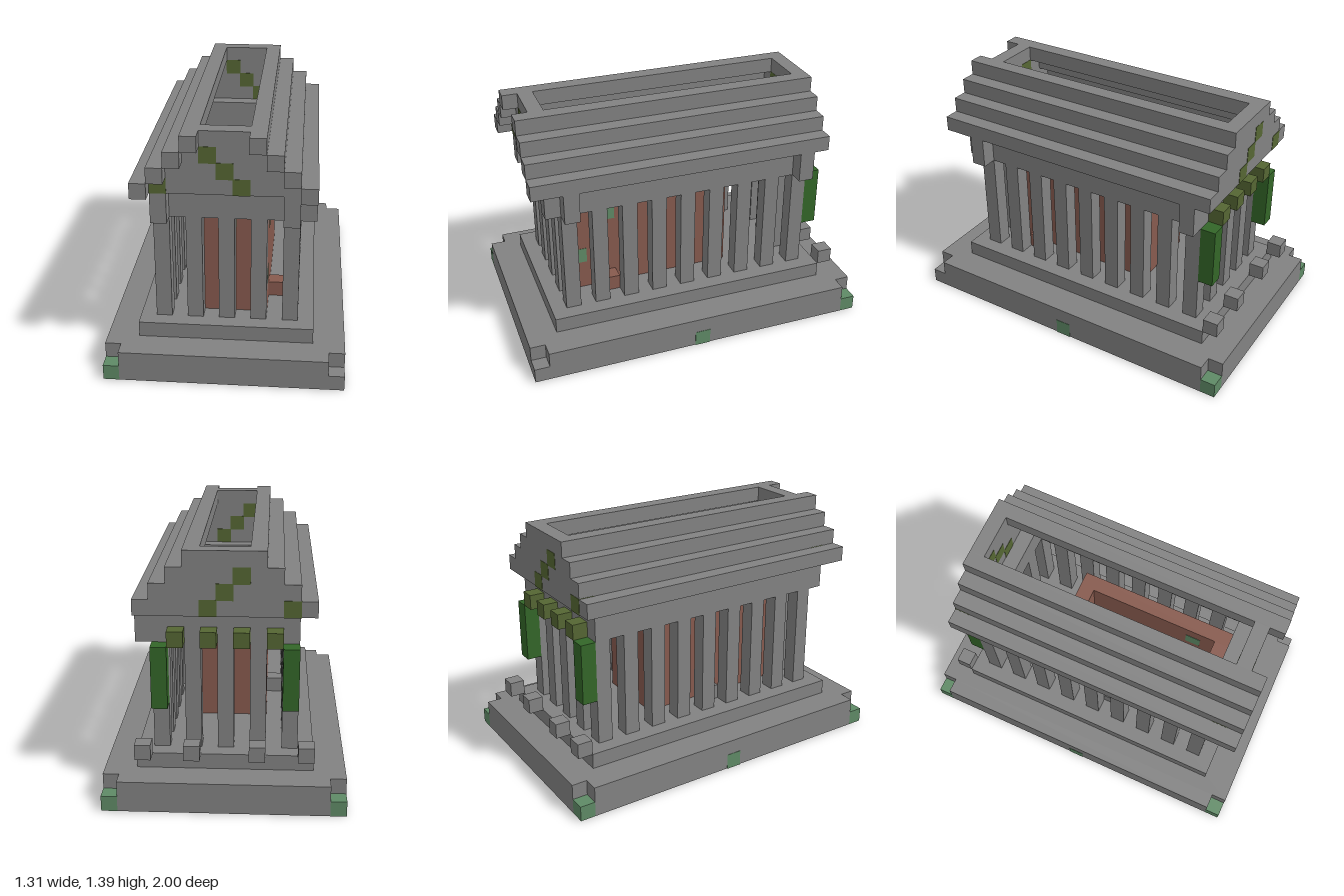
import * as THREE from 'three';

const U = 2 / 23; // one block
const mat = (name, color) => {
  const m = new THREE.MeshStandardMaterial({ color });
  m.name = name;
  return m;
};

export function createModel() {
  const stone = mat('stone', 0x828282);
  const brick = mat('brick', 0x875a4e);
  const moss = mat('moss', 0x5f8a66);
  const olive = mat('oliveLeaf', 0x556633);
  const vine = mat('vine', 0x336628);
  const model = new THREE.Group();
  model.name = 'ruinedTemple';

  // Box filling blocks x0..x1, y0..y1, z0..z1 (inclusive); grow swells it slightly
  const box = (name, m, x0, x1, y0, y1, z0, z1, grow = 0) => {
    const g = new THREE.BoxGeometry(
      (x1 - x0 + 1) * U + grow, (y1 - y0 + 1) * U + grow, (z1 - z0 + 1) * U + grow);
    const mesh = new THREE.Mesh(g, m);
    mesh.name = name;
    mesh.position.set(((x0 + x1 + 1) / 2 - 7.5) * U, ((y0 + y1 + 1) / 2) * U, ((z0 + z1 + 1) / 2 - 11.5) * U);
    model.add(mesh);
    return mesh;
  };
  const cell = (name, m, x, y, z, grow = 0) => box(name, m, x, x, y, y, z, z, grow);

  // Stepped base with notched corners
  box('base', stone, 1, 13, 0, 1, 0, 22);
  for (const x of [0, 14]) {
    box('baseSide', stone, x, x, 0, 1, 1, 21);
    for (const z of [0, 22]) cell('baseCorner', x === 14 && z === 22 ? stone : moss, x, 0, z);
    cell('mossPatch', moss, x, 0, 11, 0.004);
  }
  box('step', stone, 2, 12, 2, 2, 2, 20);

  // Moss spots under the base, as [x, z] blocks
  const spots = [[9, 8], [11, 12], [13, 17], [10, 13], [8, 6], [6, 4], [4, 4], [10, 19], [9, 20],
    [8, 15], [6, 17], [5, 14], [4, 14], [6, 21], [3, 17], [2, 13], [4, 10], [4, 7], [2, 6], [2, 7], [1, 4]];
  for (const [x, z] of spots) {
    const s = new THREE.Mesh(new THREE.CircleGeometry(U * 0.48, 8), moss);
    s.name = 'mossSpot';
    s.rotation.x = Math.PI / 2;
    s.position.set((x - 7) * U, -0.002, (z - 11) * U);
    model.add(s);
  }

  // Columns around the edge
  for (const x of [3, 11]) for (let z = 3; z <= 19; z += 2) box('column', stone, x, x, 3, 9, z, z);
  for (const x of [5, 7, 9]) for (const z of [3, 19]) box('column', stone, x, x, 3, 9, z, z);

  // Brick inner chamber, open above
  for (const x of [5, 9]) box('chamberSideWall', brick, x, x, 3, 9, 8, 18);
  for (const z of [8, 18]) box('chamberEndWall', brick, 6, 8, 3, 9, z, z);
  cell('mossPatch', moss, 9, 5, 18, 0.004);
  cell('mossPatch', moss, 9, 8, 16, 0.004);
  cell('mossPatch', moss, 7, 9, 18, 0.004);

  // Fallen blocks
  cell('fallenBrick', brick, 10, 3, 16);
  cell('fallenStone', stone, 4, 3, 12);
  cell('fallenStone', stone, 7, 3, 17);
  for (const x of [2, 5, 9, 12]) cell('looseStone', stone, x, 3, 1);

  // Beams on the columns, with corner brackets
  for (const x of [3, 11]) {
    box('sideBeam', stone, x, x, 10, 11, 3, 19);
    box('frontBracket', stone, x, x, 10, 11, 20, 20);
  }
  for (const z of [3, 19]) {
    box('endBeam', stone, 4, 10, 10, 11, z, z);
    box('sideBracket', stone, 12, 12, 10, 11, z, z);
  }

  // Stepped roof, open along the ridge, with gable walls
  for (let j = 0; j < 4; j++) {
    for (const x of [2 + j, 12 - j]) box('roofStep', stone, x, x, 12 + j, 12 + j, 2, 21);
    for (const z of [2, 20]) box('gable', stone, 3 + j, 11 - j, 12 + j, 12 + j, z, z);
  }
  for (const z of [2, 20])
    for (const [x, y] of [[6, 14], [7, 13], [8, 12], [3, 12]]) cell('leafPatch', olive, x, y, z, 0.004);

  // Growth hanging at the back
  for (const x of [4, 6, 8, 10]) cell('leafClump', olive, x, 10, 2);
  for (const x of [3, 11]) box('hangingVine', vine, x, x, 6, 9, 2, 2);

  return model;
}
